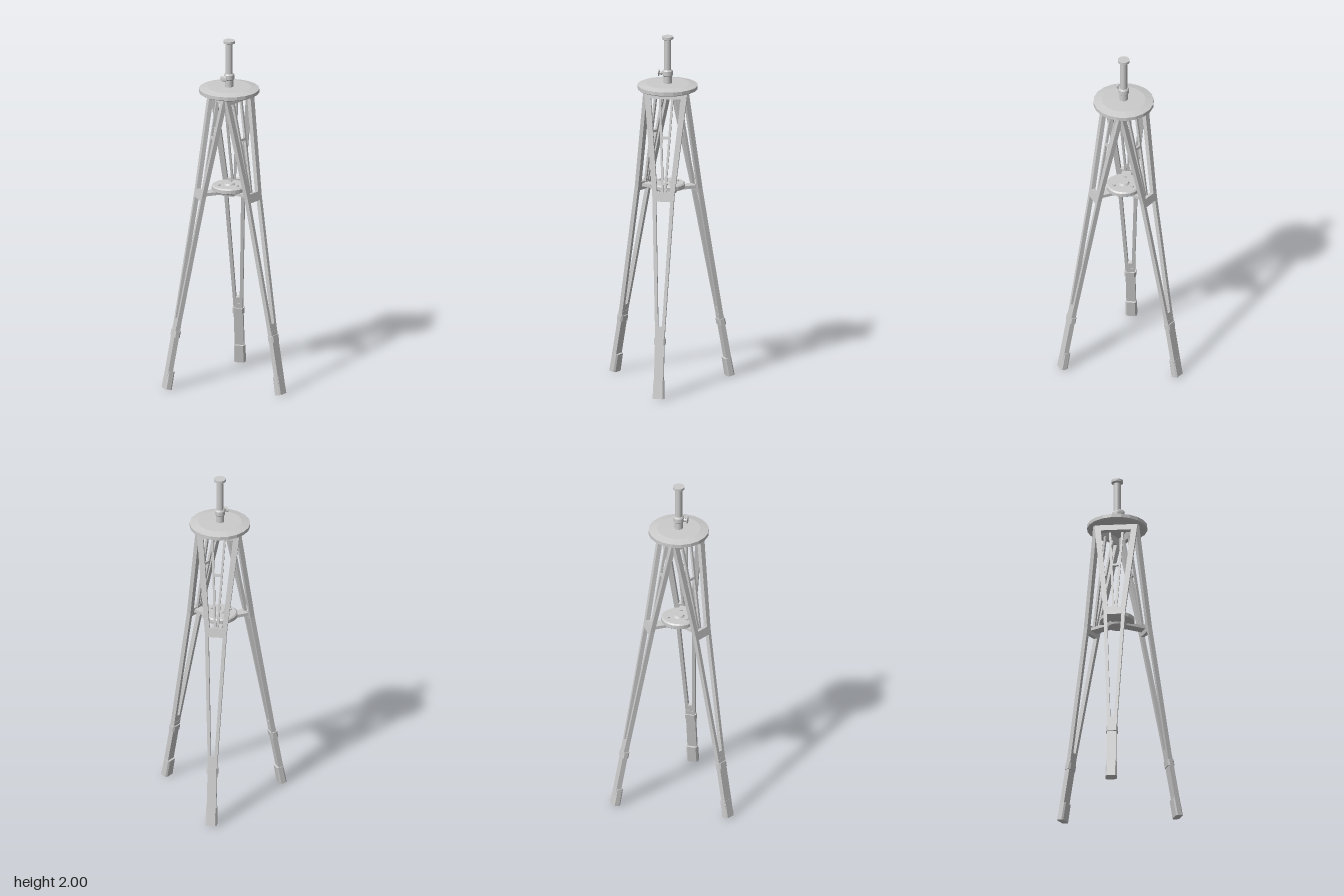
import * as THREE from 'three';

const mat = new THREE.MeshStandardMaterial({ color: 0xcccccc, flatShading: true });

function add(parent, name, geo, x = 0, y = 0, z = 0) {
  const m = new THREE.Mesh(geo, mat);
  m.name = name;
  m.position.set(x, y, z);
  parent.add(m);
  return m;
}

const lathe = (pts, n) => new THREE.LatheGeometry(pts.map(p => new THREE.Vector2(...p)), n);

// Flat polygon extruded symmetrically about z = 0
function slab(points, depth, holes = []) {
  const toVecs = pts => pts.map(p => new THREE.Vector2(...p));
  const shape = new THREE.Shape(toVecs(points));
  for (const h of holes) shape.holes.push(new THREE.Path(toVecs(h)));
  return new THREE.ExtrudeGeometry(shape, { depth, bevelEnabled: false }).translate(0, 0, -depth / 2);
}

// Upright block with cut corners
function block(w, d, h, cut) {
  const a = w / 2, b = d / 2;
  const pts = [[a - cut, -b], [a, -b + cut], [a, b - cut], [a - cut, b],
    [-a + cut, b], [-a, b - cut], [-a, -b + cut], [-a + cut, -b]];
  return slab(pts, h).rotateX(-Math.PI / 2);
}

// Symmetric trapezoid: half width w0 at y0, w1 at y1
const trapezoid = (w0, y0, w1, y1) => [[-w0, y0], [w0, y0], [w1, y1], [-w1, y1]];

function makeLeg() {
  const leg = new THREE.Group();
  leg.name = 'leg';

  // Frame: narrow below the crossbar, splaying wider above it
  const outline = [[-0.026, 0.33], [0.026, 0.33], [0.028, 0.4], [0.061, 1.135], [0.121, 1.725],
    [-0.121, 1.725], [-0.061, 1.135], [-0.028, 0.4]];
  const lower = trapezoid(0.011, 0.41, 0.04, 1.11);
  const upper = trapezoid(0.036, 1.16, 0.084, 1.685);
  add(leg, 'legFrame', slab(outline, 0.025, [lower, upper]));

  // Extending shaft, clamp collar and foot
  add(leg, 'lowerShaft', new THREE.BoxGeometry(0.052, 0.3, 0.028), 0, 0.22, 0);
  add(leg, 'clampCollar', block(0.064, 0.04, 0.036, 0.009), 0, 0.326, 0);
  const foot = block(0.064, 0.043, 0.105, 0.008);
  const p = foot.attributes.position;
  for (let i = 0; i < p.count; i++) {
    if (p.getY(i) > 0) p.setXYZ(i, p.getX(i) * 0.93, p.getY(i), p.getZ(i) * 0.95);
  }
  add(leg, 'foot', foot, 0, 0.058, -0.005);

  // Slim V brace behind the upper opening
  for (const s of [-1, 1]) {
    const dx = 0.028, dy = 0.53;
    const bar = add(leg, 'braceStrut', new THREE.BoxGeometry(0.012, Math.hypot(dx, dy), 0.014),
      s * 0.021, 1.425, -0.017);
    bar.rotation.z = -s * Math.atan2(dx, dy);
  }
  add(leg, 'braceCrosspiece', new THREE.BoxGeometry(0.046, 0.014, 0.014), 0, 1.465, -0.017);
  return leg;
}

export function createModel() {
  const model = new THREE.Group();
  model.name = 'tripod';
  const body = new THREE.Group();
  body.name = 'tripodBody';
  body.position.x = -0.088;
  model.add(body);

  // Three legs with spreader arms
  for (let i = 0; i < 3; i++) {
    const side = new THREE.Group();
    side.name = 'legAssembly';
    side.rotation.y = Math.PI / 2 + i * Math.PI * 2 / 3;
    body.add(side);
    const leg = makeLeg();
    leg.position.z = 0.378;
    leg.rotation.x = -Math.atan(0.184);
    side.add(leg);
    add(side, 'spreaderArm', new THREE.BoxGeometry(0.055, 0.018, 0.14), 0, 1.12, 0.105);
    add(side, 'spreaderStud', new THREE.CylinderGeometry(0.009, 0.009, 0.01, 10), 0, 1.159, 0.06);
  }

  // Round spreader plate with raised hub
  add(body, 'spreaderPlate', lathe([[0, 1.1], [0.05, 1.1], [0.055, 1.12], [0.092, 1.125], [0.098, 1.13],
    [0.098, 1.15], [0.09, 1.157], [0.032, 1.157], [0.026, 1.166], [0, 1.166]], 24));

  // Head plate with sloped rim
  add(body, 'headPlate', lathe([[0, 1.694], [0.158, 1.694], [0.169, 1.7], [0.169, 1.72],
    [0.122, 1.73], [0, 1.731]], 20));

  // Centre column, clamp ring and cap
  add(body, 'column', lathe([[0, 1.72], [0.023, 1.72], [0.023, 1.77], [0.029, 1.776], [0.029, 1.8],
    [0.024, 1.808], [0.02, 1.808], [0.02, 1.98], [0.033, 1.986], [0.033, 2], [0, 2]], 24));

  // Wing screw at the front of the clamp ring
  const screw = new THREE.Group();
  screw.name = 'wingScrew';
  screw.position.set(0, 1.787, 0);
  body.add(screw);
  const cyl = (r, h) => new THREE.CylinderGeometry(r, r, h, 12).rotateX(Math.PI / 2);
  add(screw, 'screwStem', cyl(0.006, 0.035), 0, 0, 0.035);
  add(screw, 'screwCollar', cyl(0.012, 0.008), 0, 0, 0.036);
  add(screw, 'wing', new THREE.SphereGeometry(1, 12, 8).scale(0.024, 0.018, 0.005), 0, 0, 0.05);

  return model;
}
